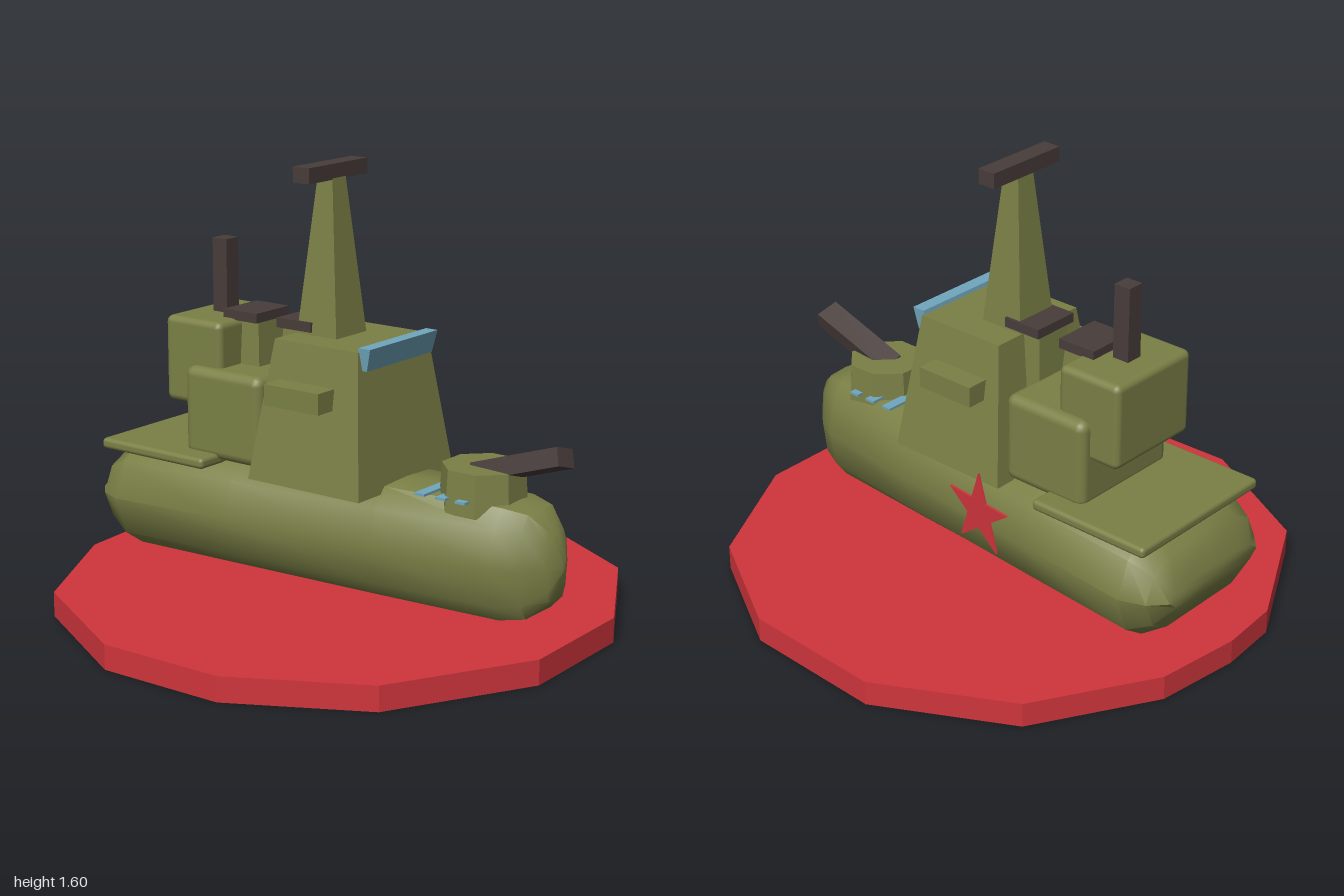
import * as THREE from 'three';
import { toCreasedNormals } from 'three/addons/utils/BufferGeometryUtils.js';
import { RoundedBoxGeometry } from 'three/addons/geometries/RoundedBoxGeometry.js';

const material = (name, color) => {
  const m = new THREE.MeshStandardMaterial({ color });
  m.name = name;
  return m;
};

// Box between two levels, each given as [x0, x1, z0, z1]
function taperedBox(y0, y1, bottom, top) {
  const g = new THREE.BoxGeometry(1, 1, 1).toNonIndexed();
  const p = g.attributes.position;
  for (let i = 0; i < p.count; i++) {
    const up = p.getY(i) > 0;
    const r = up ? top : bottom;
    p.setXYZ(i, p.getX(i) > 0 ? r[1] : r[0], up ? y1 : y0, p.getZ(i) > 0 ? r[3] : r[2]);
  }
  g.computeVertexNormals();
  return g;
}

// Box given by its limits, optionally with rounded edges
function boxBetween(x0, x1, y0, y1, z0, z1, radius = 0) {
  const size = [x1 - x0, y1 - y0, z1 - z0];
  const g = radius ? new RoundedBoxGeometry(...size, 2, radius) : new THREE.BoxGeometry(...size);
  return g.translate((x0 + x1) / 2, (y0 + y1) / 2, (z0 + z1) / 2);
}

// Rounded hull skinned over stations of [z, half width, half height]
function hullGeometry() {
  const section = [[1, 0], [0.86, 0.66], [0.58, 0.97], [0, 1], [-0.58, 0.97], [-0.86, 0.66],
    [-1, 0], [-0.86, -0.7], [-0.6, -1], [0, -1], [0.6, -1], [0.86, -0.7]];
  const stations = [[-0.925, 0.24, 0.04], [-0.87, 0.3, 0.14], [-0.78, 0.335, 0.2],
    [-0.3, 0.29, 0.2], [0.3, 0.23, 0.2], [0.75, 0.175, 0.2], [0.84, 0.13, 0.185],
    [0.91, 0.065, 0.12], [0.94, 0.012, 0.02]];
  const n = section.length;
  const pos = [];
  const idx = [];
  for (const [z, w, h] of stations) for (const [x, y] of section) pos.push(x * w, 0.33 + y * h, z);
  const last = stations.length - 1;
  const back = pos.length / 3;
  pos.push(0, 0.33, stations[0][0], 0, 0.33, stations[last][0]);
  for (let i = 0; i < n; i++) {
    const j = (i + 1) % n;
    for (let s = 0; s < last; s++) {
      const a = s * n + i, b = s * n + j;
      idx.push(a, b, b + n, a, b + n, a + n);
    }
    idx.push(back, j, i, back + 1, last * n + i, last * n + j);
  }
  const g = new THREE.BufferGeometry();
  g.setAttribute('position', new THREE.Float32BufferAttribute(pos, 3));
  g.setIndex(idx);
  return toCreasedNormals(g, 0.75);
}

export function createModel() {
  const group = new THREE.Group();
  group.name = 'warship';
  const olive = material('olive paint', 0x7b8046);
  const red = material('red', 0xcf353c);
  const dark = material('dark brown metal', 0x483d3b);
  const blue = material('blue glass', 0x70a7bd);
  const add = (name, geometry, mat) => {
    const mesh = new THREE.Mesh(geometry, mat);
    mesh.name = name;
    group.add(mesh);
    return mesh;
  };

  // Display base: uneven polygon slab
  const outline = [[-0.25, -0.98], [-0.02, -1], [0.3, -0.96], [0.73, -0.71], [0.985, -0.24],
    [0.965, 0.3], [0.72, 0.73], [0.25, 0.99], [-0.24, 1], [-0.74, 0.72], [-0.99, 0.26],
    [-1, -0.22], [-0.73, -0.72]];
  const baseShape = new THREE.Shape(outline.map(([x, z]) => new THREE.Vector2(x, -z)));
  add('base', new THREE.ExtrudeGeometry(baseShape, { depth: 0.09, bevelEnabled: false })
    .rotateX(-Math.PI / 2), red);

  // Hull and stern deck
  add('hull', hullGeometry(), olive);
  add('sternDeck', boxBetween(-0.32, 0.31, 0.505, 0.545, -0.86, -0.375, 0.015), olive);

  // Bridge with window and side wings
  add('bridge', taperedBox(0.5, 1, [-0.285, 0.275, -0.19, 0.295], [-0.21, 0.195, -0.125, 0.235]), olive);
  add('bridgeWindow', taperedBox(0.935, 1.015, [-0.195, 0.185, 0.22, 0.262], [-0.205, 0.19, 0.233, 0.282]), blue);
  add('leftWing', boxBetween(0.15, 0.3, 0.79, 0.865, -0.085, 0.15), olive);
  add('rightWing', boxBetween(-0.32, -0.15, 0.79, 0.865, -0.085, 0.15), olive);

  // Mast and radar bar
  add('mast', taperedBox(0.99, 1.55, [-0.095, 0.08, -0.12, 0.055], [-0.045, 0.03, -0.065, 0]), olive);
  add('radarBar', boxBetween(-0.175, 0.155, 1.545, 1.6, -0.07, 0), dark);

  // Two funnels with caps
  for (const z of [-0.13, -0.375]) {
    add('funnel', taperedBox(0.8, 1.015, [-0.09, 0.08, z - 0.08, z + 0.08], [-0.075, 0.065, z - 0.065, z + 0.065]), olive);
    add('funnelCap', boxBetween(-0.1, 0.085, 1.01, 1.045, z - 0.076, z + 0.076), dark);
  }

  // Rear deckhouses and antenna
  add('rearHouse', boxBetween(-0.235, 0.23, 0.52, 0.85, -0.53, -0.18, 0.035), olive);
  add('upperHouse', boxBetween(-0.2, 0.19, 0.7, 1.015, -0.645, -0.385, 0.025), olive);
  add('antenna', boxBetween(-0.04, 0.025, 1, 1.285, -0.55, -0.485), dark);

  // Foredeck strips below the gun turret
  for (const z of [0.465, 0.55, 0.63]) {
    add('deckStrip', boxBetween(-0.17, 0.16, 0.53, 0.539, z - 0.02, z + 0.02), blue);
  }

  // Gun turret and barrel
  const turret = new THREE.CylinderGeometry(0.145, 0.155, 0.15, 8).toNonIndexed();
  turret.rotateY(Math.PI / 8).computeVertexNormals();
  add('gunTurret', turret.translate(-0.005, 0.555, 0.615), olive);
  const barrel = add('gunBarrel', new THREE.BoxGeometry(0.09, 0.065, 0.36), dark);
  barrel.position.set(-0.005, 0.652, 0.765);
  barrel.rotation.set(-0.32, 0, -0.3);

  // Star on the left side of the hull
  const points = [];
  for (let i = 0; i < 10; i++) {
    const r = i % 2 ? 0.06 : 0.157;
    const a = Math.PI / 2 + i * Math.PI / 5;
    points.push(new THREE.Vector2(r * Math.cos(a), r * Math.sin(a)));
  }
  const star = add('star', new THREE.ExtrudeGeometry(new THREE.Shape(points),
    { depth: 0.009, bevelEnabled: false }), red);
  star.position.set(0.273, 0.372, -0.105);
  star.rotation.y = Math.PI / 2 - 0.1;

  return group;
}
